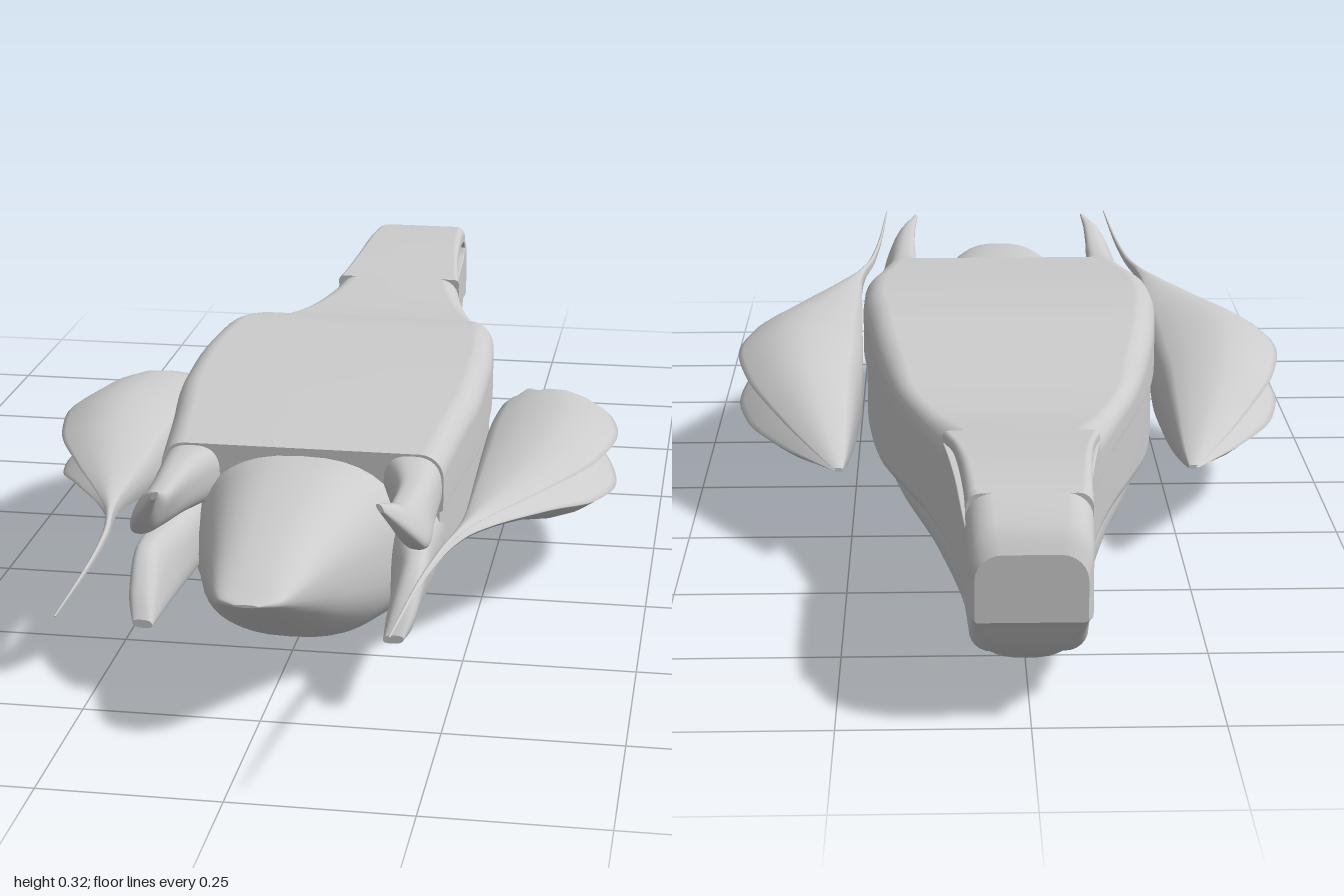
import * as THREE from 'three';

const material = new THREE.MeshStandardMaterial({ color: 0xcccccc, side: THREE.DoubleSide });

// smooth interpolation of rows [z, a, b, ...]; returns z => [a, b, ...]
function profile(rows) {
  const slope = (i, c) => {
    if (i === 0 || i === rows.length - 1) {
      const k = i === 0 ? 0 : i - 1;
      return (rows[k + 1][c] - rows[k][c]) / (rows[k + 1][0] - rows[k][0]);
    }
    const a = (rows[i][c] - rows[i - 1][c]) / (rows[i][0] - rows[i - 1][0]);
    const b = (rows[i + 1][c] - rows[i][c]) / (rows[i + 1][0] - rows[i][0]);
    return a * b <= 0 ? 0 : 2 * a * b / (a + b);
  };
  return z => {
    let i = 0;
    while (i < rows.length - 2 && z > rows[i + 1][0]) i++;
    const h = rows[i + 1][0] - rows[i][0];
    const t = THREE.MathUtils.clamp((z - rows[i][0]) / h, 0, 1);
    return rows[i].slice(1).map((v, k) => {
      const c = k + 1, t2 = t * t, t3 = t2 * t;
      return (2 * t3 - 3 * t2 + 1) * v + (t3 - 2 * t2 + t) * h * slope(i, c)
        + (3 * t2 - 2 * t3) * rows[i + 1][c] + (t3 - t2) * h * slope(i + 1, c);
    });
  };
}

// skin of closed cross-sections from z0 to z1; section(z) gives [x, y] points anticlockwise
function loft(name, z0, z1, steps, section, side = 1) {
  const pos = [], index = [], rings = [];
  for (let i = 0; i <= steps; i++) {
    const z = z0 + (z1 - z0) * (0.5 - 0.5 * Math.cos(Math.PI * i / steps));
    const ring = section(z).map(([x, y]) => [x * side, y, z]);
    if (side < 0) ring.reverse();
    rings.push(ring);
    ring.forEach(p => pos.push(...p));
  }
  const n = rings[0].length;
  for (let i = 0; i < steps; i++) for (let j = 0; j < n; j++) {
    const k = (j + 1) % n, a = i * n + j, b = i * n + k;
    index.push(a, b, a + n, b, b + n, a + n);
  }
  for (const [ring, front] of [[rings[0], false], [rings[steps], true]]) {
    const s = pos.length / 3;
    const mid = [0, 1, 2].map(c => ring.reduce((sum, p) => sum + p[c], 0) / n);
    ring.forEach(p => pos.push(...p));
    pos.push(...mid);
    for (let j = 0; j < n; j++) {
      const k = (j + 1) % n;
      index.push(s + n, s + (front ? j : k), s + (front ? k : j));
    }
  }
  const geo = new THREE.BufferGeometry();
  geo.setAttribute('position', new THREE.Float32BufferAttribute(pos, 3));
  geo.setIndex(index);
  geo.computeVertexNormals();
  const mesh = new THREE.Mesh(geo, material);
  mesh.name = name;
  return mesh;
}

// rectangle with separate top and bottom corner radii
function roundRect(w, bottom, top, rTop, rBottom) {
  const pts = [], limit = Math.max((top - bottom) * 0.49, 0.0005);
  for (let q = 0; q < 4; q++) {
    const r = Math.min(q < 2 ? rTop : rBottom, limit, w * 0.9);
    const cx = (q === 0 || q === 3 ? 1 : -1) * (w - r);
    const cy = q < 2 ? top - r : bottom + r;
    for (let k = 0; k <= 6; k++) {
      const a = (q + k / 6) * Math.PI / 2;
      pts.push([cx + r * Math.cos(a), cy + r * Math.sin(a)]);
    }
  }
  return pts;
}

// superellipse with different heights above and below its widest line
function oval(cx, w, cy, up, down, power, shear = 0) {
  const pts = [];
  for (let j = 0; j < 40; j++) {
    const a = j / 40 * Math.PI * 2, c = Math.cos(a), s = Math.sin(a);
    const u = Math.sign(c) * Math.abs(c) ** (2 / power), v = Math.sign(s) * Math.abs(s) ** (2 / power);
    pts.push([cx + w * u + shear * v, cy + v * (v > 0 ? up : down)]);
  }
  return pts;
}

// body: half width, top line, shell edge, lower edge of the flank
const body = profile([
  [-1, 0.072, 0.235, 0.145, 0.145], [-0.98, 0.079, 0.262, 0.143, 0.14], [-0.92, 0.082, 0.29, 0.15, 0.085],
  [-0.88, 0.083, 0.296, 0.155, 0.06], [-0.82, 0.086, 0.298, 0.163, 0.064], [-0.7, 0.094, 0.288, 0.18, 0.075],
  [-0.6, 0.108, 0.275, 0.192, 0.085], [-0.45, 0.144, 0.261, 0.207, 0.095], [-0.35, 0.175, 0.268, 0.216, 0.098],
  [-0.2, 0.212, 0.31, 0.222, 0.092], [-0.1, 0.225, 0.325, 0.222, 0.09], [0.05, 0.235, 0.323, 0.218, 0.088],
  [0.15, 0.235, 0.316, 0.212, 0.088], [0.3, 0.22, 0.3, 0.205, 0.095], [0.42, 0.209, 0.286, 0.2, 0.1],
]);
// opening through the tail: lower and upper edge
const hole = profile([
  [-0.92, 0.25, 0.25], [-0.905, 0.237, 0.263], [-0.87, 0.231, 0.27], [-0.8, 0.23, 0.274],
  [-0.7, 0.238, 0.271], [-0.59, 0.257, 0.257],
]);
// inner hull: half width, bottom, widest line, top
const hull = profile([
  [-0.88, 0.07, 0.06, 0.09, 0.12], [-0.8, 0.077, 0.02, 0.09, 0.14], [-0.7, 0.086, 0.01, 0.095, 0.15],
  [-0.5, 0.122, 0.025, 0.1, 0.16], [-0.2, 0.188, 0.04, 0.105, 0.18], [0, 0.2, 0.033, 0.108, 0.2],
  [0.2, 0.2, 0.01, 0.11, 0.23], [0.36, 0.178, 0.002, 0.12, 0.272], [0.45, 0.15, 0.01, 0.13, 0.275],
  [0.6, 0.112, 0.07, 0.16, 0.264], [0.7, 0.084, 0.125, 0.184, 0.248], [0.78, 0.06, 0.17, 0.2, 0.228],
  [0.82, 0.042, 0.195, 0.205, 0.214], [0.838, 0.016, 0.205, 0.207, 0.209],
]);
// side pods with long front spines: inner x, outer x, centre y, half height
const pod = profile([
  [-0.36, 0.258, 0.272, 0.145, 0.003], [-0.3, 0.253, 0.305, 0.147, 0.018], [-0.2, 0.249, 0.358, 0.152, 0.045],
  [-0.06, 0.244, 0.42, 0.165, 0.075], [0.07, 0.24, 0.44, 0.17, 0.081], [0.2, 0.242, 0.42, 0.182, 0.066],
  [0.35, 0.246, 0.358, 0.202, 0.036], [0.5, 0.25, 0.285, 0.218, 0.016], [0.56, 0.246, 0.26, 0.222, 0.011],
  [0.65, 0.232, 0.24, 0.226, 0.007], [0.8, 0.22, 0.225, 0.235, 0.004], [1, 0.213, 0.215, 0.245, 0.001],
]);
const podOutline = [
  [0, -0.75], [0.15, -0.92], [0.4, -1], [0.62, -0.93], [0.82, -0.75], [0.97, -0.5], [1, -0.45], [0.96, -0.36],
  [0.78, 0.02], [0.6, 0.24], [0.5, 0.31], [0.62, 0.38], [0.8, 0.44], [0.97, 0.49], [1, 0.53], [0.96, 0.6],
  [0.8, 0.84], [0.62, 0.98], [0.45, 1], [0.25, 0.9], [0.08, 0.75], [0, 0.6], [0, 0],
];
// front prongs: centre x, half width, centre y, half height, lean
const upperProng = profile([
  [0.38, 0.15, 0.055, 0.24, 0.046, 0], [0.43, 0.167, 0.04, 0.238, 0.044, -0.002],
  [0.5, 0.179, 0.027, 0.236, 0.038, -0.006], [0.6, 0.184, 0.022, 0.243, 0.034, -0.014],
  [0.65, 0.177, 0.016, 0.268, 0.026, -0.012], [0.69, 0.156, 0.004, 0.3, 0.006, -0.003],
]);
const lowerProng = profile([
  [0.38, 0.172, 0.036, 0.15, 0.055, 0], [0.5, 0.176, 0.031, 0.15, 0.052, 0.003],
  [0.6, 0.183, 0.023, 0.146, 0.047, 0.01], [0.66, 0.181, 0.02, 0.128, 0.027, 0.006],
  [0.695, 0.176, 0.014, 0.112, 0.006, 0.002],
]);

export function createModel() {
  const model = new THREE.Group();
  model.name = 'hoverCraft';

  // upper shell, divided above and below the tail opening
  const shellFull = z => { const [w, t, a] = body(z); return roundRect(w, a, t, 0.035, 0.004); };
  const shellOver = z => { const [w, t] = body(z); return roundRect(w, hole(z)[1], t, 0.035, 0.002); };
  const shellUnder = z => { const [w, , a] = body(z); return roundRect(w, a, hole(z)[0], 0.002, 0.004); };
  model.add(
    loft('upperShell', -0.59, 0.42, 60, shellFull),
    loft('tailArch', -0.92, -0.59, 32, shellOver),
    loft('tailDeck', -0.92, -0.59, 32, shellUnder),
    loft('tailEnd', -1, -0.92, 10, shellFull),
  );

  // slightly recessed flank and the rounded hull with the nose
  model.add(loft('flank', -0.98, 0.42, 70, z => {
    const [w, , a, b] = body(z);
    return roundRect(w - 0.005, b, Math.max(a, b + 0.003), 0.001, 0.03);
  }));
  model.add(loft('hullAndNose', -0.88, 0.838, 90, z => {
    const [w, bottom, mid, top] = hull(z);
    return oval(0, w, mid, top - mid, mid - bottom, 2.5);
  }));

  // mirrored parts
  for (const side of [1, -1]) {
    const label = side > 0 ? 'left' : 'right';
    model.add(loft(label + 'SidePod', -0.36, 1, 80, z => {
      const [xi, xo, cy, h] = pod(z);
      return podOutline.map(([u, v]) => [xi + (xo - xi) * u, cy + h * v]);
    }, side));
    for (const [name, curve, end] of [['UpperProng', upperProng, 0.69], ['LowerProng', lowerProng, 0.695]]) {
      model.add(loft(label + name, 0.38, end, 24, z => {
        const [cx, w, cy, h, lean] = curve(z);
        return oval(cx, w, cy, h, h, 2.6, lean);
      }, side));
    }
  }
  return model;
}
